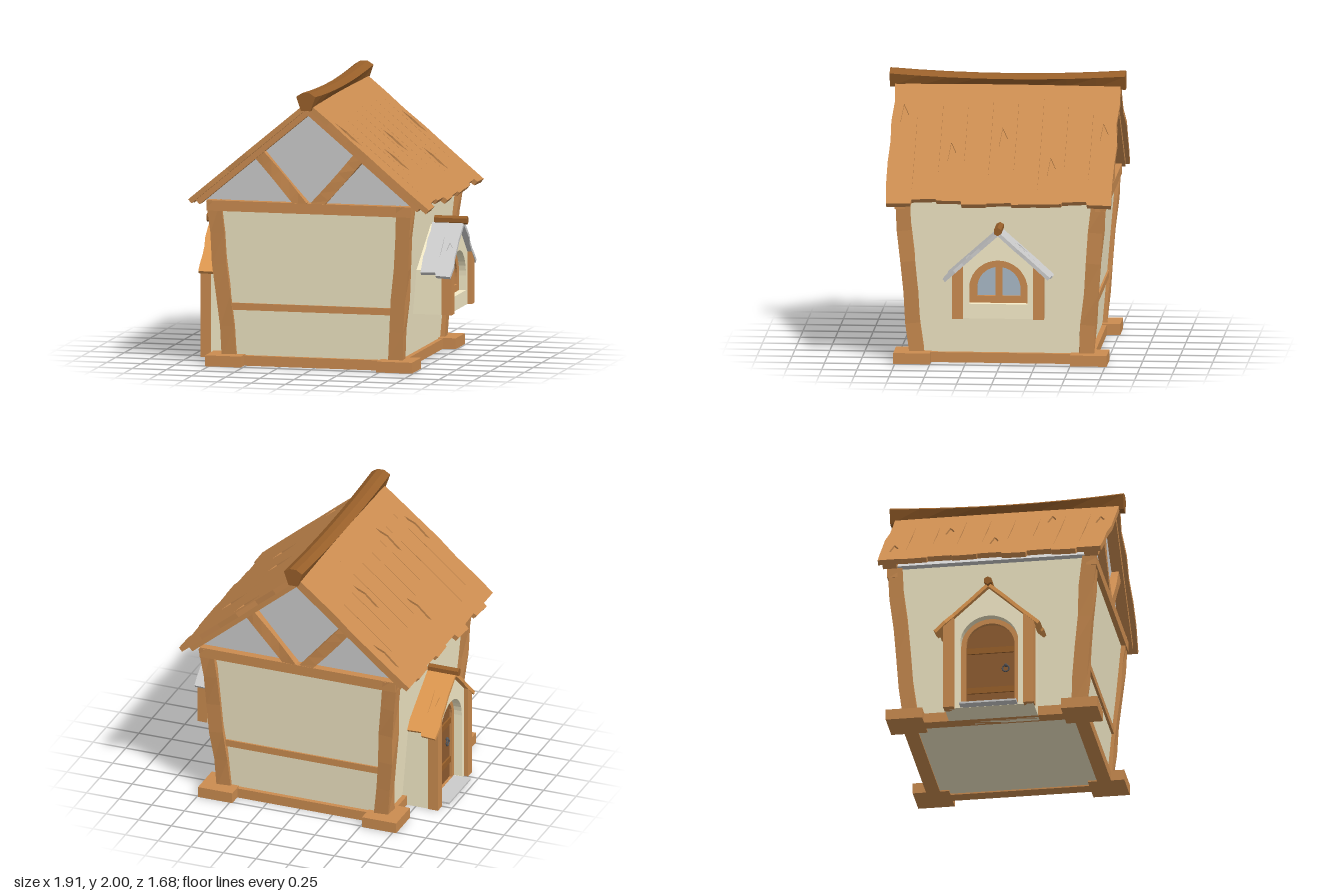
import * as THREE from 'three';

const mat = (color, extra = {}) => new THREE.MeshStandardMaterial({ color, flatShading: true, ...extra });
const WOOD = mat(0xcb8c50), DARK = mat(0x99602a), DOOR = mat(0x8f5c30), PLASTER = mat(0xf5ebc8);
const GREY = mat(0xcccccc), GLASS = mat(0xa8b8c6), IRON = mat(0x55565a), PORCH = mat(0xdf9850);

// repeatable value in -1..1
const hash = (n) => { const v = Math.sin(n * 127.1 + 11.7) * 43758.5453; return 2 * (v - Math.floor(v)) - 1; };

function add(parent, name, geo, material, x = 0, y = 0, z = 0) {
  const m = new THREE.Mesh(geo, material);
  m.name = name;
  m.position.set(x, y, z);
  parent.add(m);
  return m;
}

const box = (parent, name, w, h, d, material, x, y, z) =>
  add(parent, name, new THREE.BoxGeometry(w, h, d), material, x, y, z);

// hand-hewn timber between two points
function beam(parent, name, a, b, w, d, wobble = 0, material = WOOD) {
  const p = new THREE.Vector3(...a), q = new THREE.Vector3(...b);
  const dir = q.clone().sub(p), len = dir.length();
  const geo = new THREE.BoxGeometry(w, len, d, 1, 5, 1), pos = geo.attributes.position;
  for (let i = 0; i < pos.count; i++) {
    const x = pos.getX(i), y = pos.getY(i), z = pos.getZ(i);
    pos.setX(i, x + wobble * Math.sin(9 * y + 40 * z + a[0] * 7));
    pos.setZ(i, z + wobble * Math.sin(11 * y + 35 * x + a[2] * 5));
  }
  geo.computeVertexNormals();
  const m = add(parent, name, geo, material);
  m.position.copy(p).add(q).multiplyScalar(0.5);
  m.quaternion.setFromUnitVectors(new THREE.Vector3(0, 1, 0), dir.normalize());
}

const polygon = (pts) => new THREE.Shape(pts.map(([x, y]) => new THREE.Vector2(x, y)));
const extrude = (shape, depth, steps = 1) =>
  new THREE.ExtrudeGeometry(shape, { depth, steps, bevelEnabled: false, curveSegments: 9 });

// arched outline: flat base, straight sides, round top
function arch(half, base, spring) {
  const s = new THREE.Shape();
  s.moveTo(-half, base);
  s.lineTo(half, base);
  s.lineTo(half, spring);
  s.absarc(0, spring, half, 0, Math.PI, false);
  s.closePath();
  return s;
}

// one roof slope of ragged planks, with seams and splits cut in the upper layer
function roofSlope(parent, name, side, o) {
  const { apex, angle, len, half, thick, planks, rough, z, material, kites } = o;
  const seed = side * 31 + planks * 7;
  const pts = [[0, -half]];
  for (let i = 1; i < 6; i++) pts.push([len * i / 6, -half + rough * 0.5 * hash(seed + i)]);
  const w = 2 * half / planks;
  for (let i = 0; i < planks; i++) {
    const y = -half + i * w, e = len + rough * hash(seed + 20 + i);
    pts.push([e, y + 0.004], [e + rough * 0.5 * hash(seed + 40 + i), y + w - 0.004]);
  }
  for (let i = 5; i > 0; i--) pts.push([len * i / 6, half + rough * 0.5 * hash(seed + 60 + i)]);
  pts.push([0, half]);
  const top = polygon(pts);
  for (let i = 1; i < planks; i++) {
    const y = -half + i * w, a = len * (0.18 + 0.1 * hash(seed + i)), b = len * (0.8 + 0.12 * hash(seed + 9 + i));
    top.holes.push(polygon([[a, y], [(a + b) / 2, y + 0.007], [b, y], [(a + b) / 2, y + 0.001]]));
  }
  for (let i = 0; i < kites; i++) {
    const y = -half + w * (Math.floor((i + 0.5) * planks / kites) + 0.5);
    const s = len * (0.5 + 0.25 * hash(seed + 80 + i)), l = len * 0.11, k = w * 0.16;
    top.holes.push(polygon([[s - l, y - k * 0.4], [s + l * 0.4, y - k], [s + l, y + k * 0.5], [s - l * 0.2, y + k]]));
  }
  const c = Math.cos(angle), s = Math.sin(angle);
  const place = new THREE.Matrix4().makeBasis(
    new THREE.Vector3(side * c, -s, 0), new THREE.Vector3(0, 0, -side), new THREE.Vector3(side * s, c, 0));
  place.setPosition(0, apex - thick / c, z);
  const lower = extrude(polygon(pts), thick * 0.6);
  const upper = extrude(top, thick * 0.4).translate(0, 0, thick * 0.6);
  add(parent, name + 'Base', lower.applyMatrix4(place), material);
  add(parent, name + 'Planks', upper.applyMatrix4(place), material);
}

// gabled bay facing +z with an arched opening, corner posts and a small roof
function bay(name, base, apex, opening, roofMaterial) {
  const g = new THREE.Group();
  g.name = name;
  const under = apex - 0.034, slope = 0.89;
  const wall = polygon([[-0.32, base], [0.32, base], [0.32, under - 0.32 * slope], [0, under], [-0.32, under - 0.32 * slope]]);
  wall.holes.push(arch(...opening));
  add(g, name + 'Wall', extrude(wall, 0.29), PLASTER, 0, 0, 0.6);
  for (const s of [-1, 1]) {
    const a = s * 0.25, b = s * 0.326;
    const pts = [[a, base], [b, base], [b, under - 0.326 * slope], [a, under - 0.25 * slope]];
    add(g, name + 'Post', extrude(polygon(s > 0 ? pts : pts.reverse()), 0.076), WOOD, 0, 0, 0.846);
    roofSlope(g, name + 'Roof', s, { apex, angle: 0.727, len: 0.485, half: 0.115, thick: 0.025,
      planks: 2, rough: 0.014, z: 0.815, material: roofMaterial, kites: 1 });
  }
  const pole = add(g, name + 'RidgePole', new THREE.CylinderGeometry(0.03, 0.03, 0.24, 6), DARK, 0, apex + 0.003, 0.835);
  pole.rotation.x = Math.PI / 2;
  return g;
}

export function createModel() {
  const model = new THREE.Group();
  model.name = 'cottage';
  const house = new THREE.Group();
  house.name = 'house';
  house.position.x = -0.018;
  model.add(house);

  // plaster body, wider at the top
  const R = Math.SQRT2;
  const body = new THREE.CylinderGeometry(0.722 * R, 0.625 * R, 1.18, 4, 1).rotateY(Math.PI / 4);
  add(house, 'walls', body, PLASTER, 0, 0.6, 0);

  // corner posts on foot blocks
  for (const sx of [-1, 1]) for (const sz of [-1, 1]) {
    beam(house, 'cornerPost', [sx * 0.605, 0.06, sz * 0.605], [sx * 0.7, 1.19, sz * 0.7], 0.105, 0.105, 0.006);
    box(house, 'footBlock', 0.262, 0.078, 0.262, WOOD, sx * 0.628, 0.039, sz * 0.63);
  }

  // sills, cross beams and gable framing
  const slope = 0.836;
  for (const s of [-1, 1]) {
    box(house, 'sill', 1.1, 0.072, 0.1, WOOD, 0, 0.036, s * 0.615);
    box(house, 'sill', 0.1, 0.072, 1.1, WOOD, s * 0.615, 0.036, 0);
    box(house, 'middleBeam', 1.2, 0.05, 0.05, WOOD, 0, 0.425, s * 0.65);
    box(house, 'topBeam', 1.5, 0.075, 0.075, WOOD, 0, 1.155, s * 0.715);
    for (const x of [-1, 1]) {
      beam(house, 'gableBrace', [x * 0.045, 1.17, s * 0.715], [x * 0.375, 1.545, s * 0.715], 0.082, 0.07, 0.003);
      beam(house, 'rafter', [0, 1.856, s * 0.725], [x * 0.81, 1.856 - 0.81 * slope, s * 0.725], 0.042, 0.1);
    }
  }
  const gable = polygon([[-0.78, 1.185], [0.78, 1.185], [0, 1.845]]);
  add(house, 'gableInfill', extrude(gable, 1.39), GREY, 0, 0, -0.695);

  // main roof
  for (const s of [-1, 1]) {
    roofSlope(house, 'mainRoof', s, { apex: 1.93, angle: Math.atan(slope), len: 1.115, half: 0.805, thick: 0.037,
      planks: 9, rough: 0.024, z: 0, material: WOOD, kites: 5 });
  }

  // sagging ridge beam
  const ridge = extrude(polygon([[-0.035, 1.87], [0.035, 1.87], [0.07, 1.972], [0.025, 2], [-0.025, 2], [-0.07, 1.972]]), 1.68, 8);
  ridge.translate(0, 0, -0.84);
  const rp = ridge.attributes.position;
  for (let i = 0; i < rp.count; i++) {
    const t = 1 - (rp.getZ(i) / 0.84) ** 2;
    rp.setY(i, rp.getY(i) + (rp.getY(i) > 1.9 ? -0.03 : 0.025) * t);
  }
  ridge.computeVertexNormals();
  add(house, 'ridgeBeam', ridge, DARK);

  // window bay on the left side
  const win = bay('windowBay', 0.365, 1.0, [0.21, 0.47, 0.575], GREY);
  win.rotation.y = Math.PI / 2;
  const frame = arch(0.21, 0.47, 0.575);
  frame.holes.push(arch(0.155, 0.52, 0.575));
  add(win, 'windowFrame', extrude(frame, 0.05), WOOD, 0, 0, 0.79);
  add(win, 'windowGlass', extrude(arch(0.16, 0.515, 0.575), 0.02), GLASS, 0, 0, 0.79);
  box(win, 'windowMullion', 0.05, 0.23, 0.046, WOOD, 0, 0.62, 0.815);
  model.add(win);

  // door porch on the right side
  const porch = bay('doorPorch', 0, 0.955, [0.21, 0.014, 0.5], PORCH);
  porch.rotation.y = -Math.PI / 2;
  const doorFrame = arch(0.21, 0.014, 0.5);
  doorFrame.holes.push(arch(0.175, 0.016, 0.5));
  add(porch, 'doorFrame', extrude(doorFrame, 0.05), WOOD, 0, 0, 0.78);
  add(porch, 'doorPanel', extrude(arch(0.178, 0.015, 0.5), 0.02), DOOR, 0, 0, 0.78);
  for (let i = -1.5; i < 2; i++) {
    const h = Math.abs(i) > 1 ? 0.56 : 0.64;
    box(porch, 'doorPlank', 0.08, h, 0.012, DOOR, i * 0.086, 0.015 + h / 2, 0.804);
  }
  for (const y of [0.16, 0.47]) box(porch, 'doorBatten', 0.335, 0.045, 0.014, DARK, 0, y, 0.815);
  add(porch, 'doorRing', new THREE.TorusGeometry(0.024, 0.006, 6, 12), IRON, 0.11, 0.32, 0.822);
  add(porch, 'doorKnob', new THREE.SphereGeometry(0.014, 8, 6), IRON, 0.11, 0.346, 0.818);
  box(porch, 'doorStep', 0.41, 0.014, 0.16, GREY, 0, 0.008, 0.88);
  model.add(porch);

  return model;
}
